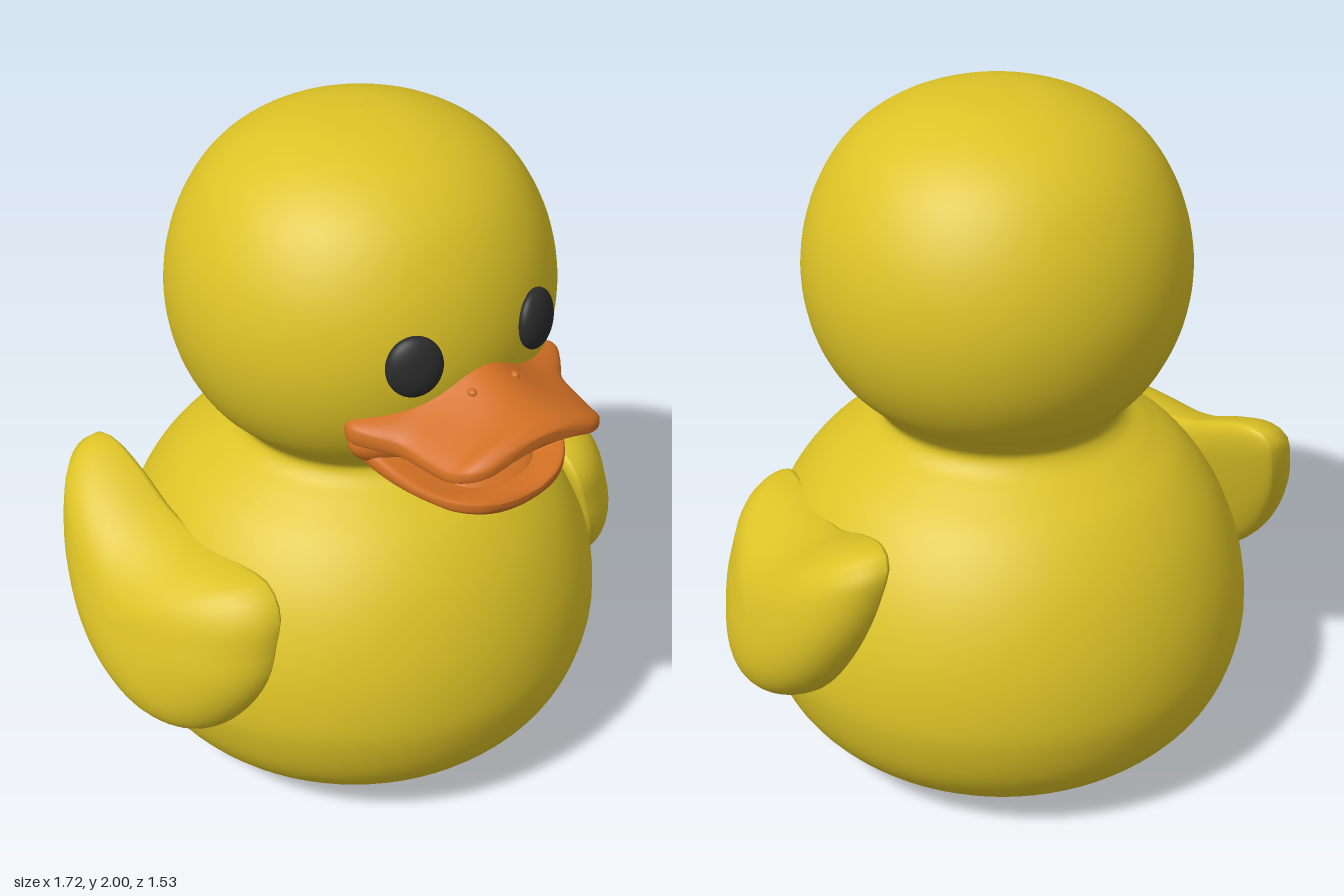
import * as THREE from 'three';

const yellow = new THREE.MeshStandardMaterial({ color: 0xddc326 });
yellow.name = 'duck yellow';
const orange = new THREE.MeshStandardMaterial({ color: 0xd27024 });
orange.name = 'bill orange';
const black = new THREE.MeshStandardMaterial({ color: 0x2b2b2b });
black.name = 'eye black';

function add(group, name, geometry, material) {
  const mesh = new THREE.Mesh(geometry, material);
  mesh.name = name;
  group.add(mesh);
  return mesh;
}

// Smooth skin over closed rings of points; the end rings are collapsed points
function loft(rings) {
  const n = rings[0].length, index = [];
  for (let i = 0; i < rings.length - 1; i++) {
    for (let j = 0; j < n; j++) {
      const k = (j + 1) % n;
      const a = i * n + j, b = i * n + k, c = b + n, d = a + n;
      index.push(a, b, c, a, c, d);
    }
  }
  const g = new THREE.BufferGeometry().setFromPoints(rings.flat());
  g.setIndex(index);
  g.computeVertexNormals();
  return g;
}

// Body, neck and head in one turned shape, the head set slightly forward
function bodyGeometry() {
  const profile = [
    [0, 0], [0.15, 0], [0.28, 0], [0.42, 0.025], [0.55, 0.095], [0.66, 0.22], [0.71, 0.37],
    [0.715, 0.48], [0.69, 0.63], [0.62, 0.8], [0.52, 0.93], [0.42, 1.005], [0.362, 1.045],
    [0.345, 1.08], [0.37, 1.12], [0.45, 1.205], [0.51, 1.32], [0.538, 1.46], [0.53, 1.59],
    [0.49, 1.72], [0.415, 1.84], [0.31, 1.925], [0.16, 1.983], [0, 2],
  ].map(([r, y]) => new THREE.Vector3(r, y, 0));
  const points = new THREE.CatmullRomCurve3(profile).getPoints(110)
    .map(p => new THREE.Vector2(Math.max(p.x, 0), THREE.MathUtils.clamp(p.y, 0, 2)));
  const g = new THREE.LatheGeometry(points, 80);
  const pos = g.attributes.position;
  for (let i = 0; i < pos.count; i++) {
    pos.setZ(i, pos.getZ(i) - 0.05 + 0.03 * THREE.MathUtils.smoothstep(pos.getY(i), 0.95, 1.3));
  }
  return g;
}

// Puffed wing: the side outline swells around a leaning plane
function wingGeometry(side) {
  const outline = [
    [0.35, 0.7], [0.34, 0.79], [0.28, 0.85], [0.18, 0.86], [0, 0.86], [-0.15, 0.89],
    [-0.3, 0.955], [-0.42, 0.99], [-0.485, 0.97], [-0.485, 0.88], [-0.44, 0.73], [-0.33, 0.55],
    [-0.2, 0.43], [-0.05, 0.355], [0.08, 0.335], [0.2, 0.37], [0.3, 0.48], [0.35, 0.6],
  ].map(([z, y]) => new THREE.Vector3(0, y, z));
  const edge = new THREE.CatmullRomCurve3(outline, true).getSpacedPoints(64).slice(0, 64);
  if (side > 0) edge.reverse();
  const rings = [], steps = 28;
  for (let i = 0; i <= steps; i++) {
    const t = Math.PI * i / steps;
    const s = Math.pow(Math.max(Math.sin(t), 0), 0.8);
    const c = -Math.cos(t);
    const bulge = c * (c > 0 ? 0.2 : 0.06);
    rings.push(edge.map(p => {
      const y = 0.66 + (p.y - 0.66) * s;
      const z = -0.06 + (p.z + 0.06) * s;
      const mid = 0.7 - 0.27 * (y - 0.34) - 0.16 * (z - 0.08);
      return new THREE.Vector3(side * (mid + bulge), y, z);
    }));
  }
  return loft(rings);
}

// Bill half from stations: z, half width, edge height, half thickness, arch, ridge
function billGeometry(stations) {
  const curveA = new THREE.CatmullRomCurve3(stations.map(s => new THREE.Vector3(s[0], s[1], s[2])));
  const curveB = new THREE.CatmullRomCurve3(stations.map(s => new THREE.Vector3(s[3], s[4], s[5])));
  const rings = [], steps = 40, n = 56;
  for (let i = 0; i <= steps; i++) {
    const { x: z, y: w, z: edge } = curveA.getPoint(i / steps);
    const { x: thick, y: arch, z: ridge } = curveB.getPoint(i / steps);
    const ring = [];
    for (let j = 0; j < n; j++) {
      const a = 2 * Math.PI * j / n;
      const u = Math.cos(a), v = Math.sin(a), x = w * u;
      let y = edge + arch * (1 - u * u) + thick * Math.sign(v) * Math.sqrt(Math.abs(v));
      if (v > 0) y += ridge * Math.exp(-((x / 0.13) ** 2)) * Math.min(1, v * 2);
      ring.push(new THREE.Vector3(x, y, z));
    }
    rings.push(ring);
  }
  const cap = ring => {
    const c = new THREE.Vector3();
    ring.forEach(p => c.addScaledVector(p, 1 / n));
    return ring.map(() => c.clone());
  };
  return loft([cap(rings[0]), ...rings, cap(rings[steps])]);
}

function ellipsoid(rx, ry, rz) {
  return new THREE.SphereGeometry(1, 40, 28).scale(rx, ry, rz);
}

export function createModel() {
  const duck = new THREE.Group();
  duck.name = 'duck';
  add(duck, 'bodyAndHead', bodyGeometry(), yellow);

  // Bill with an open mouth
  const bill = new THREE.Group();
  bill.name = 'bill';
  duck.add(bill);
  add(bill, 'upperBill', billGeometry([
    [0.34, 0.32, 1.34, 0.05, 0, 0.11],
    [0.40, 0.35, 1.34, 0.055, 0, 0.11],
    [0.46, 0.32, 1.335, 0.05, 0.02, 0.10],
    [0.52, 0.275, 1.325, 0.048, 0.03, 0.08],
    [0.60, 0.26, 1.32, 0.04, 0.045, 0.05],
    [0.68, 0.245, 1.32, 0.036, 0.055, 0.015],
    [0.73, 0.222, 1.335, 0.034, 0.048, 0.004],
    [0.758, 0.18, 1.345, 0.024, 0.038, 0],
    [0.767, 0.11, 1.36, 0.01, 0.028, 0],
  ]), orange);
  add(bill, 'lowerBill', billGeometry([
    [0.34, 0.29, 1.25, 0.045, -0.02, 0],
    [0.42, 0.295, 1.245, 0.045, -0.03, 0],
    [0.50, 0.27, 1.22, 0.038, -0.05, 0],
    [0.58, 0.235, 1.2, 0.03, -0.05, 0],
    [0.64, 0.19, 1.183, 0.03, -0.03, 0],
    [0.68, 0.13, 1.172, 0.024, -0.02, 0],
    [0.694, 0.07, 1.165, 0.01, -0.01, 0],
  ]), orange);
  add(bill, 'mouthBack', ellipsoid(0.33, 0.11, 0.11), orange).position.set(0, 1.285, 0.385);
  const tongue = add(bill, 'tongue', ellipsoid(0.15, 0.028, 0.13), orange);
  tongue.position.set(0, 1.205, 0.52);
  tongue.rotation.x = 0.3;

  for (const side of [1, -1]) {
    const label = side > 0 ? 'left' : 'right';
    add(duck, label + 'Wing', wingGeometry(side), yellow);
    add(bill, label + 'Nostril', ellipsoid(0.012, 0.01, 0.014), orange)
      .position.set(side * 0.07, 1.447, 0.56);
    // Flat oval eye lying on the head
    const eye = add(duck, label + 'Eye', ellipsoid(0.077, 0.085, 0.036), black);
    eye.position.set(side * 0.2, 1.535, 0.484);
    eye.rotation.set(-0.1, side * 0.38, 0, 'YXZ');
  }
  return duck;
}
